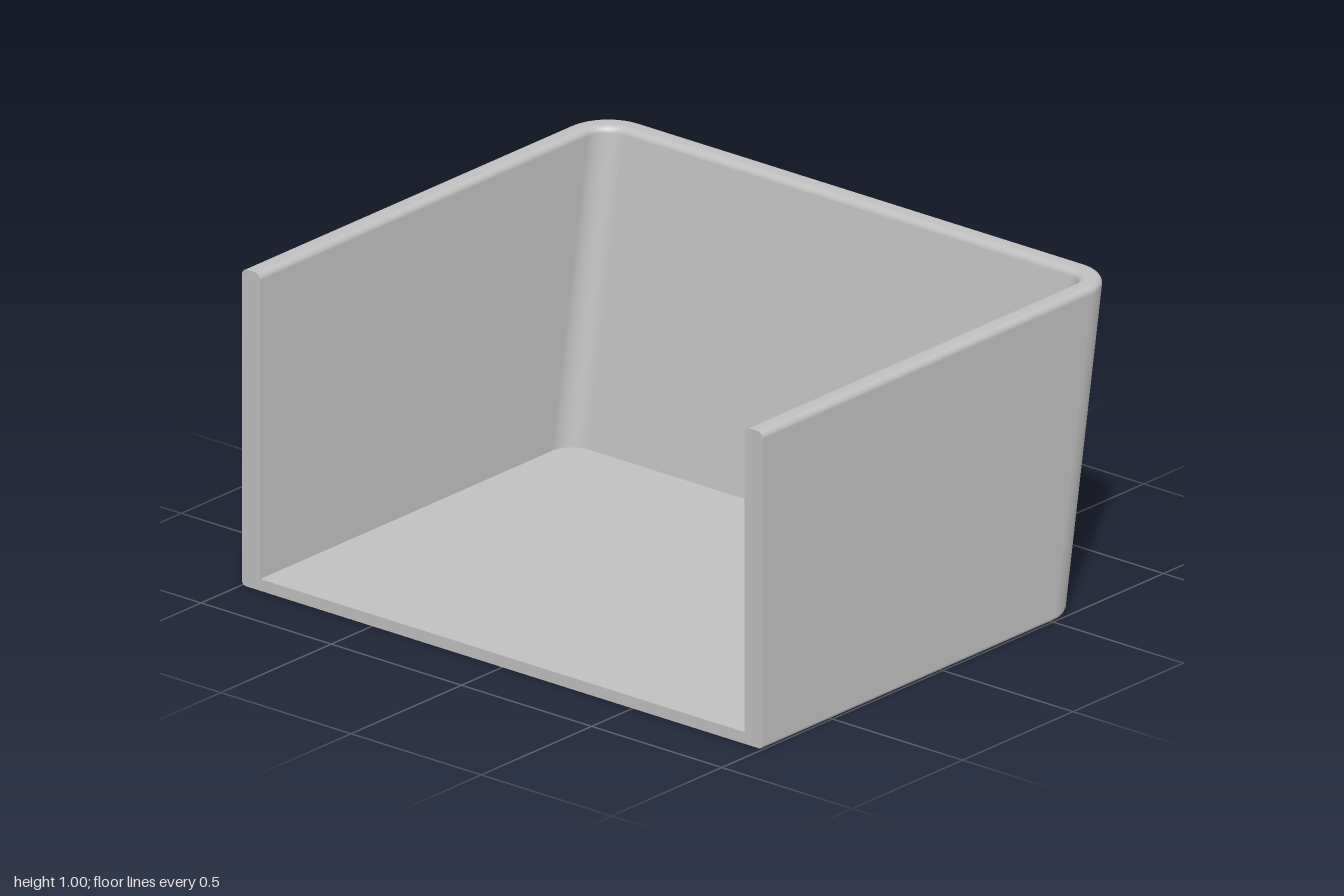
import * as THREE from 'three';

const OPEN_X = -0.815, BASE_X = 0.647, SLOPE = 0.17; // open end, sloped end wall
const WALL = 0.07, FLOOR = 0.037, CORNER = 0.145, RIM = 0.02, BEVEL = 0.013;

// U-shaped outline at height y, moved inward by d, running from +z round to -z
function outline(d, y) {
  const r = CORNER - d, z = 1 - d, cx = BASE_X + SLOPE * y - d - r, cz = z - r;
  const pts = [[OPEN_X, z]];
  const n = 14;
  for (const side of [1, -1]) {
    for (let i = 0; i <= n; i++) {
      const a = (Math.PI / 2) * (side > 0 ? 1 - i / n : -i / n);
      pts.push([cx + r * Math.cos(a), side * cz + r * Math.sin(a)]);
    }
  }
  pts.push([OPEN_X, -z]);
  return pts.map(([x, zz]) => new THREE.Vector3(x, y, zz));
}

// Wall section as [inset, height]: outside, rounded rim, inside
function wallProfile() {
  const p = [[BEVEL, 0], [BEVEL * 0.3, BEVEL * 0.3], [0, BEVEL]];
  const n = 6;
  for (const [c, start] of [[RIM, Math.PI], [WALL - RIM, Math.PI / 2]]) {
    for (let i = 0; i <= n; i++) {
      const a = start - (i / n) * Math.PI / 2;
      p.push([c + RIM * Math.cos(a), 1 - RIM + RIM * Math.sin(a)]);
    }
  }
  p.push([WALL, FLOOR]);
  return p;
}

function geometryFrom(points, index) {
  const g = new THREE.BufferGeometry().setFromPoints(points);
  g.setIndex(index);
  g.computeVertexNormals();
  return g;
}

// Sweeps the wall section round the outline
function wallGeometry(profile) {
  const rows = profile.map(([d, y]) => outline(d, y));
  const n = rows[0].length, index = [];
  for (let j = 0; j < rows.length - 1; j++) {
    for (let i = 0; i < n - 1; i++) {
      const a = j * n + i, b = a + 1, c = b + n, e = a + n;
      index.push(a, b, c, a, c, e);
    }
  }
  return geometryFrom(rows.flat(), index);
}

// Flat plate filling one outline
function plateGeometry(d, y, up) {
  const pts = outline(d, y), index = [];
  for (let i = 1; i < pts.length - 1; i++) index.push(0, up ? i : i + 1, up ? i + 1 : i);
  return geometryFrom(pts, index);
}

// Cut face of walls and floor at the open end
function cutGeometry(profile) {
  const right = profile.map(([d, y]) => new THREE.Vector2(1 - d, y));
  const left = profile.map(([d, y]) => new THREE.Vector2(d - 1, y)).reverse();
  const g = new THREE.ShapeGeometry(new THREE.Shape([...right, ...left]));
  g.rotateY(-Math.PI / 2);
  g.translate(OPEN_X, 0, 0);
  return g;
}

export function createModel() {
  const group = new THREE.Group();
  group.name = 'openTray';
  const grey = new THREE.MeshStandardMaterial({ color: 0xbfbfbf });
  grey.name = 'grey';
  const add = (name, geometry) => {
    const mesh = new THREE.Mesh(geometry, grey);
    mesh.name = name;
    group.add(mesh);
  };

  const profile = wallProfile();
  add('walls', wallGeometry(profile));
  add('floor', plateGeometry(WALL, FLOOR, true));
  add('underside', plateGeometry(BEVEL, 0, false));
  add('openEnd', cutGeometry(profile));
  return group;
}
